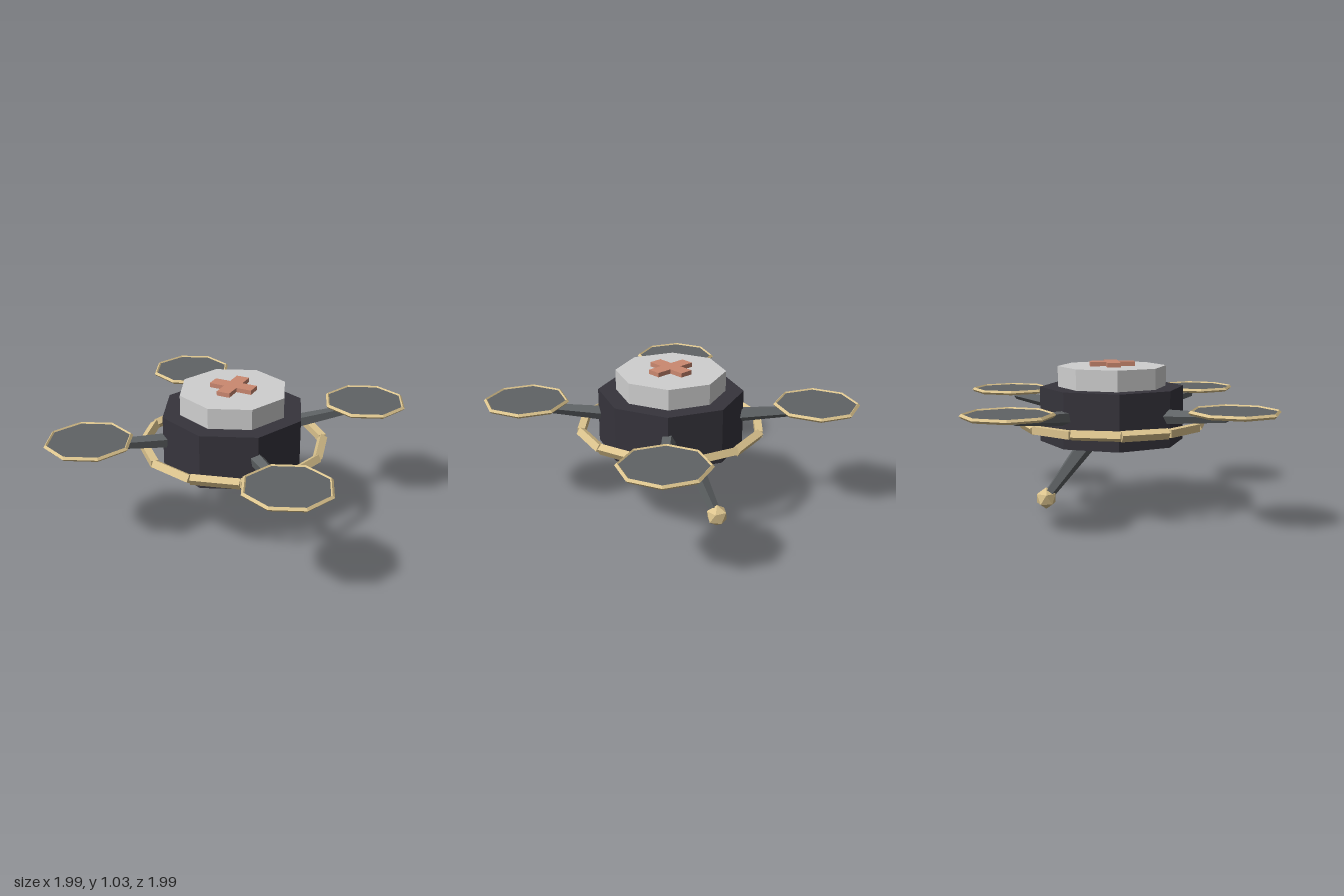
import * as THREE from 'three';

const mat = (name, color) => {
  const m = new THREE.MeshStandardMaterial({ color, flatShading: true });
  m.name = name;
  return m;
};

export function createModel() {
  const root = new THREE.Group();
  root.name = 'medicalDrone';
  const dark = mat('dark charcoal', 0x36343c);
  const pale = mat('pale grey', 0xcfcfcf);
  const grey = mat('slate grey', 0x5f6365);
  const gold = mat('pale gold', 0xdcc48e);
  const red = mat('soft red', 0xcb8870);

  const add = (name, geo, material, x = 0, y = 0, z = 0, parent = root) => {
    const mesh = new THREE.Mesh(geo, material);
    mesh.name = name;
    mesh.position.set(x, y, z);
    parent.add(mesh);
    return mesh;
  };

  // Faceted rod between two points, radius r0 at a and r1 at b
  const rod = (name, a, b, r0, r1, sides, material, parent = root) => {
    const dir = b.clone().sub(a);
    const mesh = add(name, new THREE.CylinderGeometry(r1, r0, dir.length(), sides), material, 0, 0, 0, parent);
    mesh.position.copy(a).add(b).multiplyScalar(0.5);
    mesh.quaternion.setFromUnitVectors(new THREE.Vector3(0, 1, 0), dir.normalize());
    return mesh;
  };
  const V = (x, y, z) => new THREE.Vector3(x, y, z);

  // Octagonal body and lid
  add('body', new THREE.CylinderGeometry(0.495, 0.495, 0.375, 8), dark, 0, 0.672, 0);
  add('lid', new THREE.CylinderGeometry(0.373, 0.373, 0.15, 8), pale, 0, 0.925, 0);

  // Raised cross on the lid
  const l = 0.153, w = 0.046;
  const cross = new THREE.Shape([
    [w, w], [w, l], [-w, l], [-w, w], [-l, w], [-l, -w],
    [-w, -w], [-w, -l], [w, -l], [w, -w], [l, -w], [l, w],
  ].map(([x, y]) => new THREE.Vector2(x, y)));
  const crossGeo = new THREE.ExtrudeGeometry(cross, { depth: 0.04, bevelEnabled: false });
  crossGeo.rotateX(-Math.PI / 2);
  add('cross', crossGeo, red, 0, 0.99, 0);

  // Guard ring made of twelve square rods
  const ring = new THREE.Group();
  ring.name = 'guardRing';
  root.add(ring);
  const ringPoint = (i) => {
    const a = (i * Math.PI) / 6;
    return V(0.62 * Math.cos(a), 0.61, 0.62 * Math.sin(a));
  };
  for (let i = 0; i < 12; i++) {
    rod('ringSegment', ringPoint(i + 1), ringPoint(i), 0.036, 0.036, 4, gold, ring);
  }

  // Four arms with rotor discs and rims
  const discGeo = new THREE.CylinderGeometry(0.284, 0.284, 0.012, 8);
  const rimGeo = new THREE.TorusGeometry(0.28, 0.015, 4, 8).rotateX(Math.PI / 2);
  for (const sx of [1, -1]) {
    for (const sz of [1, -1]) {
      const rotor = new THREE.Group();
      rotor.name = (sz > 0 ? 'front' : 'back') + (sx > 0 ? 'Left' : 'Right') + 'Rotor';
      root.add(rotor);
      rod('arm', V(sx * 0.3, 0.685, sz * 0.3), V(sx * 0.66, 0.725, sz * 0.66), 0.053, 0.032, 5, grey, rotor);
      add('rotorDisc', discGeo, grey, sx * 0.702, 0.765, sz * 0.702, rotor);
      add('rotorRim', rimGeo, gold, sx * 0.702, 0.765, sz * 0.702, rotor);
    }
  }

  // Slanted tail leg with a faceted ball foot
  rod('tailLeg', V(0, 0.08, -0.46), V(0, 0.49, -0.155), 0.035, 0.068, 5, grey);
  const ballGeo = new THREE.IcosahedronGeometry(0.077, 0).rotateZ(Math.atan(2 / (1 + Math.sqrt(5))));
  add('ballFoot', ballGeo, gold, 0, 0.077, -0.462);

  return root;
}
